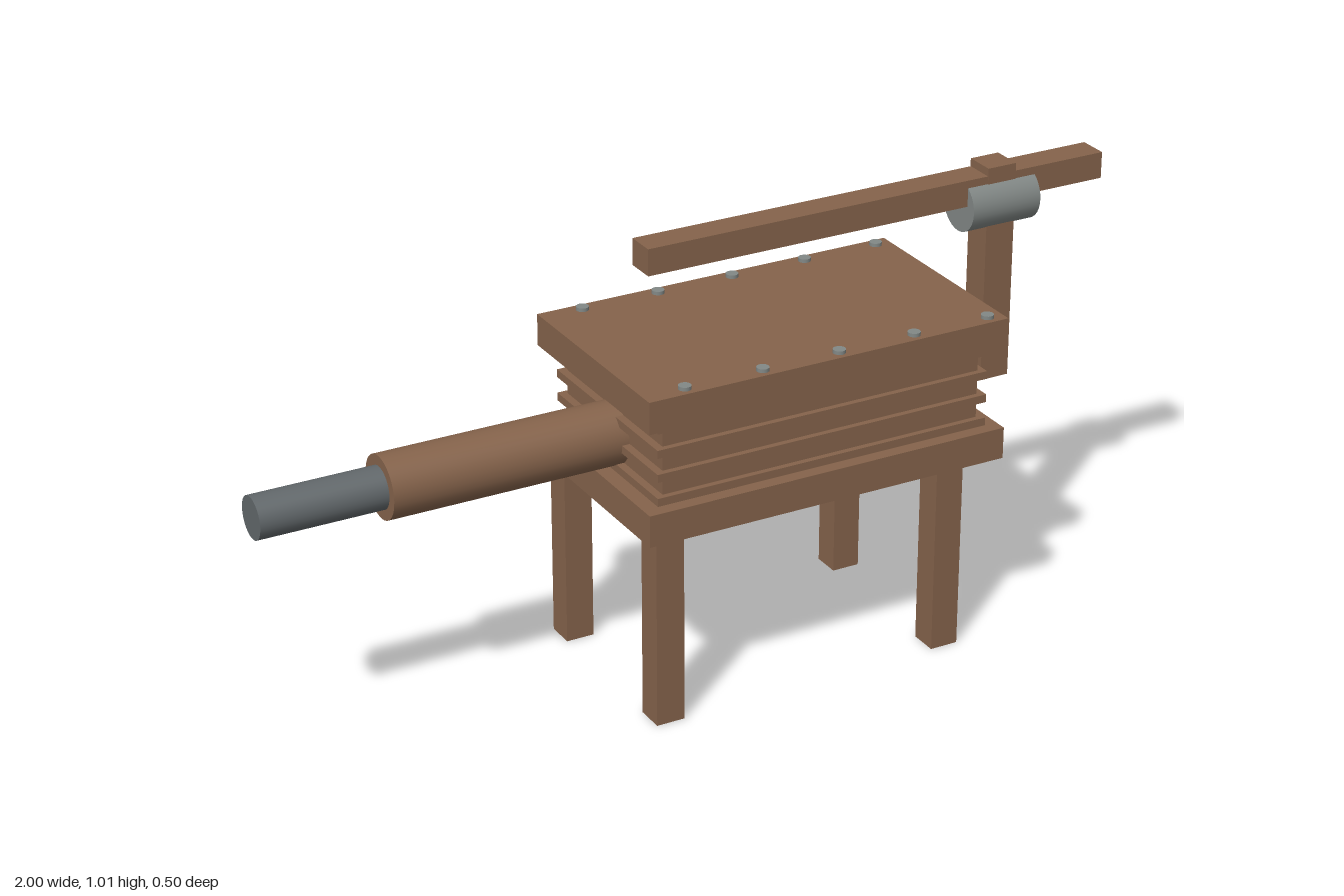
import * as THREE from 'three';

export function createModel() {
  const model = new THREE.Group();
  model.name = 'standingBellows';

  const material = (name, color) => {
    const m = new THREE.MeshStandardMaterial({ color });
    m.name = name;
    return m;
  };
  const wood = material('wood', 0x85634b);
  const darkMetal = material('dark metal', 0x62686b);
  const paleMetal = material('pale metal', 0x828886);

  // Box given by its extents on each axis
  const box = (name, [x0, x1], [y0, y1], [z0, z1], mat = wood) => {
    const mesh = new THREE.Mesh(new THREE.BoxGeometry(x1 - x0, y1 - y0, z1 - z0), mat);
    mesh.position.set((x0 + x1) / 2, (y0 + y1) / 2, (z0 + z1) / 2);
    mesh.name = name;
    model.add(mesh);
  };
  // Round bar lying along x
  const bar = (name, [x0, x1], y, radius, mat) => {
    const geometry = new THREE.CylinderGeometry(radius, radius, x1 - x0, 32).rotateZ(Math.PI / 2);
    const mesh = new THREE.Mesh(geometry, mat);
    mesh.position.set((x0 + x1) / 2, y, 0);
    mesh.name = name;
    model.add(mesh);
  };

  // Boards above and below the bellows
  box('baseBoard', [-0.235, 0.625], [0.432, 0.504], [-0.25, 0.25]);
  box('topBoard', [-0.235, 0.625], [0.688, 0.76], [-0.25, 0.25]);

  // Pleated body: a core with four protruding ribs
  box('bellowsCore', [-0.185, 0.577], [0.504, 0.688], [-0.212, 0.212]);
  for (let i = 0; i < 4; i++) {
    const y = 0.507 + i * 0.0547;
    box('bellowsRib', [-0.203, 0.593], [y, y + 0.018], [-0.225, 0.225]);
  }

  // Legs and bolts, mirrored front to back
  for (const side of [-1, 1]) {
    for (const x of [-0.215, 0.465]) {
      box('leg', [x, x + 0.065], [0, 0.432], [side * 0.2075 - 0.0325, side * 0.2075 + 0.0325]);
    }
    for (let i = 0; i < 5; i++) {
      const bolt = new THREE.Mesh(new THREE.CylinderGeometry(0.014, 0.014, 0.016, 16), paleMetal);
      bolt.position.set(-0.14 + i * 0.182, 0.76, side * 0.225);
      bolt.name = 'bolt';
      model.add(bolt);
    }
  }

  // Air pipe with a metal nozzle
  bar('woodenPipe', [-0.72, -0.18], 0.579, 0.07, wood);
  bar('nozzle', [-1, -0.7], 0.579, 0.047, darkMetal);

  // Post, pivot and pumping lever
  box('post', [0.705, 0.775], [0.51, 1.008], [-0.035, 0.035]);
  bar('pivot', [0.655, 0.825], 0.923, 0.06, paleMetal);
  box('lever', [-0.12, 1], [0.93, 0.99], [-0.034, 0.034]);

  return model;
}
